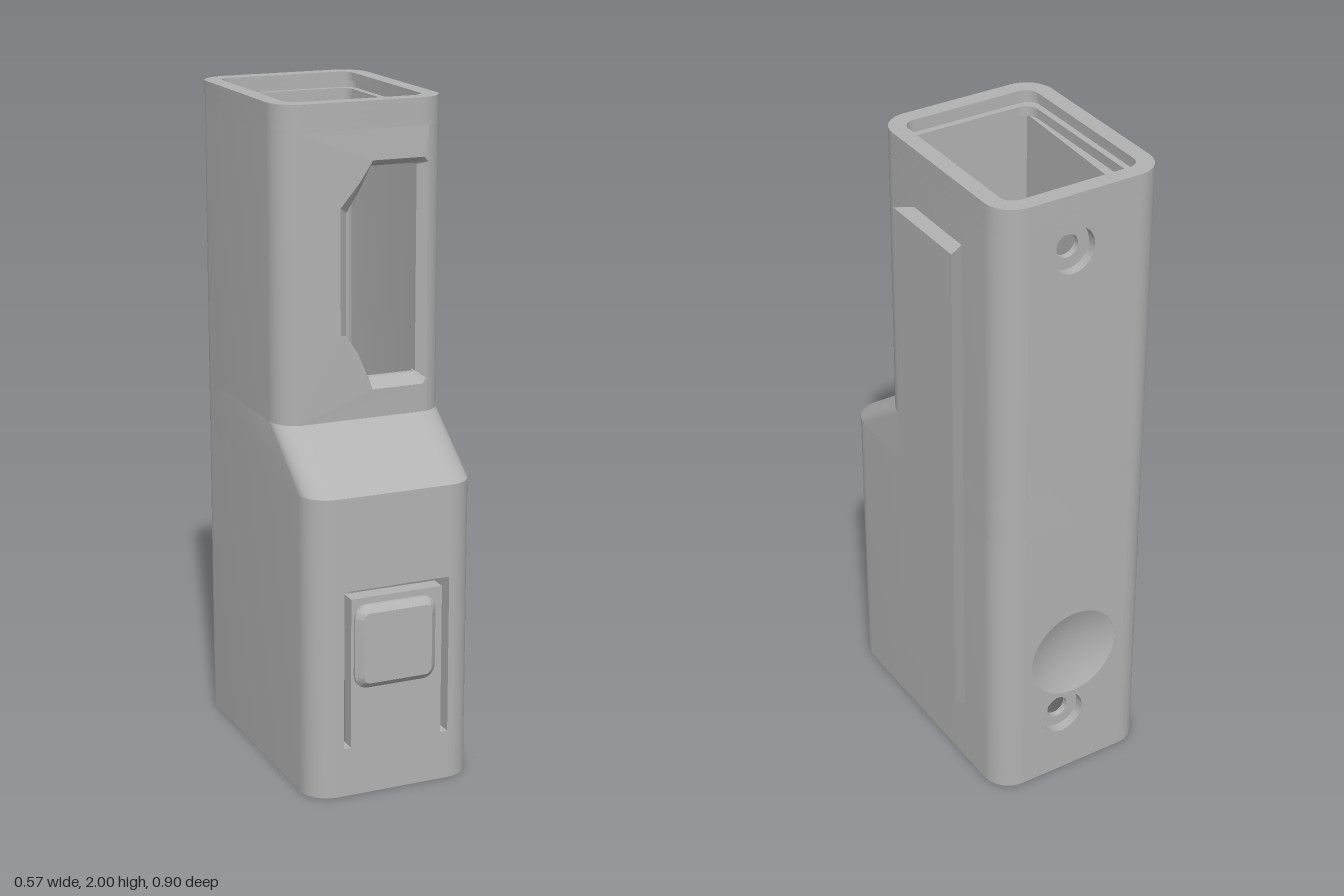
import * as THREE from 'three';
import { toCreasedNormals } from 'three/addons/utils/BufferGeometryUtils.js';

const CX = -0.0275, W = 0.2625;        // body centre and half width
const R = 0.085, RI = 0.04, WALL = 0.05; // corner radii and wall thickness
const BACK = -0.45, LOW = 0.42, HIGH = 0.2; // back, lower front and upper front
const Y1 = 0.915, Y2 = 1.075, Y3 = 1.92; // shoulder start, shoulder end, rim start

export function createModel() {
  const group = new THREE.Group();
  const grey = new THREE.MeshStandardMaterial({ color: 0xb2b2b2 });
  grey.name = 'grey plastic';
  const add = (name, geo) => {
    const mesh = new THREE.Mesh(geo, grey);
    mesh.name = name;
    group.add(mesh);
    return mesh;
  };
  const v2 = (pts) => pts.map(([x, y]) => new THREE.Vector2(x, y));
  const arc = (cx, cz, r, a0, a1) => Array.from({ length: 11 }, (_, i) => {
    const a = a0 + (a1 - a0) * i / 10;
    return [cx + r * Math.sin(a), cz + r * Math.cos(a)];
  });
  const rise = (shape, y0, y1) => {
    const g = new THREE.ExtrudeGeometry(shape, { depth: y1 - y0, bevelEnabled: false });
    return g.rotateX(-Math.PI / 2).translate(0, y0, 0);
  };
  const edit = (g, rule) => {
    const p = g.attributes.position, v = new THREE.Vector3();
    for (let i = 0; i < p.count; i++) {
      rule(v.fromBufferAttribute(p, i));
      p.setXYZ(i, v.x, v.y, v.z);
    }
    return g;
  };

  // Half of a wall outline: front corner, side, back corner
  const half = (front, inset, r, f0, b0) => [
    ...arc(W - inset - r, front - inset - r, r, f0, Math.PI / 2),
    ...arc(W - inset - r, BACK + inset + r, r, Math.PI / 2, Math.PI - b0)];
  const place = (pts, s) => v2(pts.map(([x, z]) => [CX + s * x, -z]));

  // Closed ring of wall
  const ring = (name, y0, y1, front, t, shift = 0) => {
    const loop = (inset, r) => {
      const h = half(front, inset, r, 0, 0);
      return [...place(h, 1), ...place(h, -1).reverse()];
    };
    const shape = new THREE.Shape(loop(0, R));
    shape.holes.push(new THREE.Path(loop(t, RI)));
    const g = edit(rise(shape, y0, y1), (v) => { if (v.z > 0 && v.y > (y0 + y1) / 2) v.z -= shift; });
    add(name, toCreasedNormals(g, 0.4));
  };
  ring('shoulder', Y1, Y2, LOW, WALL, LOW - HIGH);
  ring('rimBase', Y3, 1.95, HIGH, WALL);
  ring('rimGroove', 1.95, 1.975, HIGH, 0.03);
  ring('rim', 1.975, 2, HIGH, WALL);

  // Side walls with their rounded corners
  const EXT = 0.027; // how far the upper front panel reaches into the corners
  const side = (name, y0, y1, front, ext) => {
    const gap = W - R - (W - WALL - RI);
    const outer = half(front, 0, R, Math.asin(ext / R), 0);
    const inner = half(front, WALL, RI, Math.asin((ext + gap) / RI), Math.asin(gap / RI));
    for (const s of [1, -1]) {
      const shape = new THREE.Shape(place([...outer, ...inner.reverse()], s));
      add((s > 0 ? 'left' : 'right') + name, toCreasedNormals(rise(shape, y0, y1), 0.4));
    }
  };
  side('LowerSide', 0, Y1, LOW, 0);
  side('UpperSide', Y2, Y3, HIGH, EXT);

  // Flat front and back panels with cut-outs
  const panel = (y0, y1, z0, z1, holes, ext = 0) => {
    const a = CX - W + R - ext, b = CX + W - R + ext;
    const shape = new THREE.Shape(v2([[a, y0], [b, y0], [b, y1], [a, y1]]));
    shape.holes.push(...holes);
    return new THREE.ExtrudeGeometry(shape, { depth: z1 - z0, bevelEnabled: false, curveSegments: 24 }).translate(0, 0, z0);
  };
  const circle = (x, y, r) => new THREE.Path().absarc(x, y, r, 0, Math.PI * 2, true);
  const HX = 0.008, HOLES = [0.22, 1.83], DR = 0.148, DY = 0.44;
  const spans = [[0, Y1, 0], [Y2, Y3, 1]];
  for (const [y0, y1, i] of spans) {
    const cuts = [circle(HX, HOLES[i], 0.07)];
    if (i === 0) cuts.push(circle(CX, DY, DR));
    add('backPanelOuter', toCreasedNormals(panel(y0, y1, BACK, BACK + 0.03, cuts), 0.4));
    add('backPanelInner', toCreasedNormals(panel(y0, y1, BACK + 0.03, BACK + WALL, [circle(HX, HOLES[i], 0.035)]), 0.4));
  }

  // Shallow thumb dimple in the back
  const D = 0.028, SR = (DR * DR + D * D) / (2 * D), A = Math.asin(DR / SR);
  const bowl = Array.from({ length: 9 }, (_, i) => {
    const a = A * (1 - i / 8);
    return new THREE.Vector2(SR * Math.sin(a), SR - D - SR * Math.cos(a));
  });
  add('dimple', new THREE.LatheGeometry(bowl, 40).rotateX(-Math.PI / 2)).position.set(CX, DY, BACK);

  // Lower front with the slot that frees the button tongue
  const slot = new THREE.Path(v2([[-0.185, 0.15], [-0.163, 0.15], [-0.163, 0.61], [0.125, 0.61],
    [0.125, 0.15], [0.148, 0.15], [0.148, 0.635], [-0.185, 0.635]]));
  add('lowerFrontPanel', panel(0, Y1, LOW - WALL, LOW, [slot]));

  // Upper front with a chamfered window
  const bend = (v) => {
    const d = Math.max(0, Math.abs(v.x - CX) - (W - R));
    v.z -= R - Math.sqrt(R * R - d * d);
  };
  const wide = [[0, 1.16], [0.16, 1.16], [0.175, 1.175], [0.175, 1.815], [0.16, 1.83], [0, 1.83],
    [-0.04, 1.77], [-0.1, 1.7], [-0.1, 1.33], [-0.045, 1.27]];
  const narrow = [[0, 1.19], [0.145, 1.19], [0.15, 1.195], [0.15, 1.805], [0.145, 1.81], [0, 1.81],
    [-0.03, 1.74], [-0.07, 1.68], [-0.07, 1.32], [-0.03, 1.26]];
  const MID = HIGH - 0.03;
  const outerPanel = edit(panel(Y2, Y3, MID, HIGH, [new THREE.Path(v2(wide))], EXT), bend);
  outerPanel.computeVertexNormals();
  add('upperFrontPanelOuter', outerPanel);
  add('upperFrontPanelInner', panel(Y2, Y3, HIGH - WALL, MID, [new THREE.Path(v2(narrow))], EXT));
  const strip = [];
  wide.forEach((o, i) => {
    const j = (i + 1) % wide.length;
    const a = [...o, HIGH], b = [...wide[j], HIGH], c = [...narrow[j], MID], d = [...narrow[i], MID];
    strip.push(...a, ...b, ...c, ...a, ...c, ...d);
  });
  const chamfer = new THREE.BufferGeometry();
  chamfer.setAttribute('position', new THREE.Float32BufferAttribute(strip, 3));
  edit(chamfer, bend).computeVertexNormals();
  add('windowChamfer', chamfer);

  // Push button with a chamfered edge
  const bw = 0.1075, bh = 0.1075, br = 0.02, button = new THREE.Shape();
  button.absarc(bw - br, bh - br, br, 0, Math.PI / 2);
  button.absarc(br - bw, bh - br, br, Math.PI / 2, Math.PI);
  button.absarc(br - bw, br - bh, br, Math.PI, Math.PI * 1.5);
  button.absarc(bw - br, br - bh, br, Math.PI * 1.5, Math.PI * 2);
  const buttonGeo = new THREE.ExtrudeGeometry(button, {
    depth: 0.02, bevelThickness: 0.02, bevelSize: 0.02, bevelSegments: 1, curveSegments: 6 });
  add('button', toCreasedNormals(buttonGeo, 0.5)).position.set(CX, 0.463, LOW - 0.01);

  // Dovetail rail on the side, its lower end sloped
  const rail = new THREE.Shape(v2([[0.234, 0.25], [0.234, 0], [0.285, -0.03], [0.285, 0.28]]));
  const railGeo = edit(rise(rail, 0.21, 1.82), (v) => { if (v.y < 1 && v.x > 0.26) v.y += 0.055; });
  railGeo.computeVertexNormals();
  add('sideRail', railGeo);

  // Thin guide rib inside the back wall
  add('guideRib', new THREE.BoxGeometry(0.017, 1.55, 0.052)).position.set(-0.192, 1.075, -0.375);

  return group;
}
